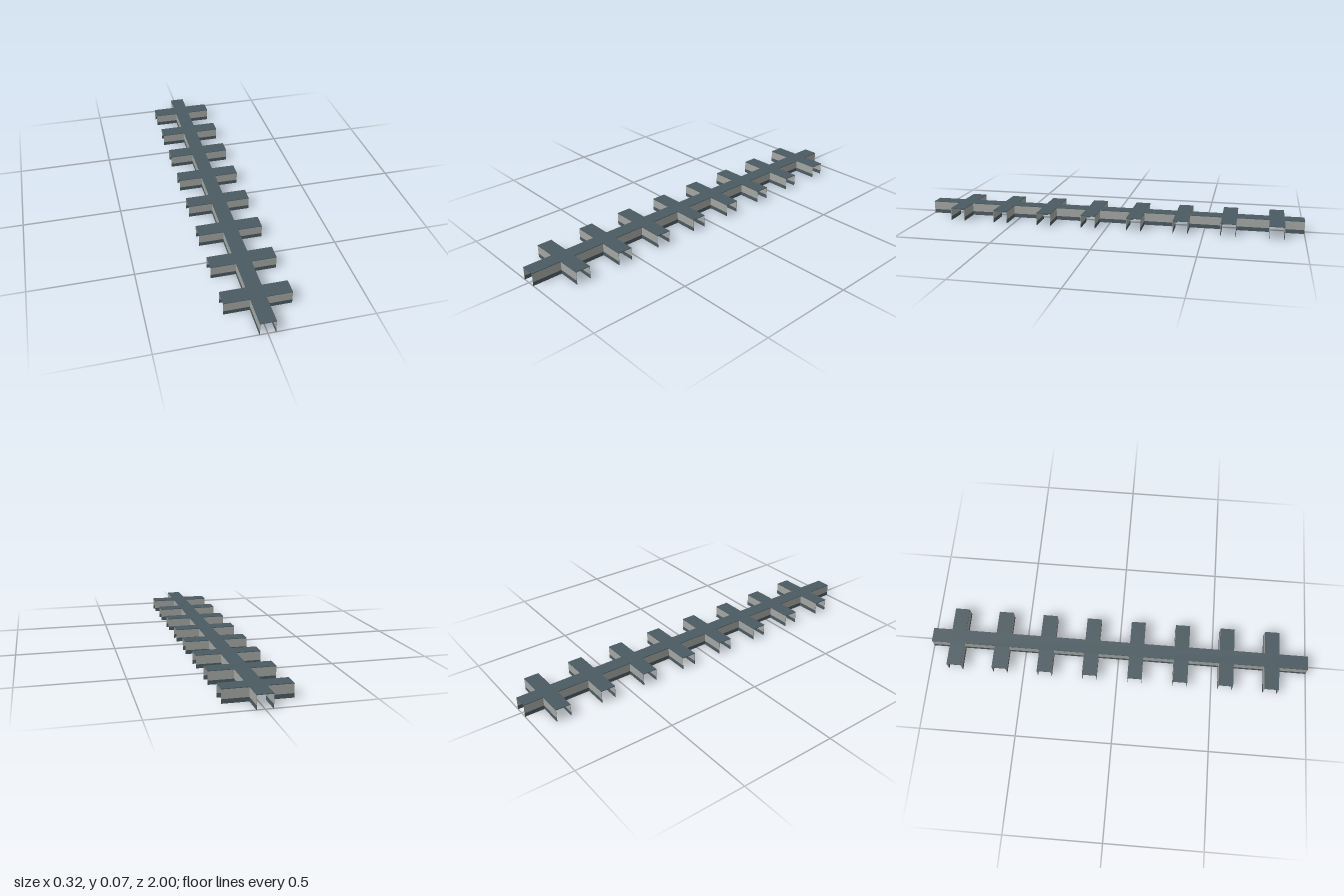
import * as THREE from 'three';

const HEIGHT = 0.066, BAND = 0.02, SHEET = 0.003, WALL = 0.002;
const SPINE = 0.0375;  // half width of the long corridor
const ARM = 0.038;     // half width of a cross arm
const REACH = 0.16;    // arm tip distance from the centre line
const ARM_Z = Array.from({ length: 8 }, (_, i) => -0.863 + i * 0.2391);

export function createModel() {
  const model = new THREE.Group();
  model.name = 'crossedCorridor';

  const slate = new THREE.MeshStandardMaterial({ color: 0x4b5a61 });
  slate.name = 'slate';
  const paleGrey = new THREE.MeshStandardMaterial({ color: 0xa2a6a2 });
  paleGrey.name = 'paleGrey';

  // Box given by its lower and upper corners
  function box(parent, name, material, x0, x1, y0, y1, z0, z1) {
    const mesh = new THREE.Mesh(new THREE.BoxGeometry(x1 - x0, y1 - y0, z1 - z0), material);
    mesh.position.set((x0 + x1) / 2, (y0 + y1) / 2, (z0 + z1) / 2);
    mesh.name = name;
    parent.add(mesh);
  }

  // Upright wall panel with a dark skirting band along its foot
  function wall(name, x0, x1, z0, z1) {
    const group = new THREE.Group();
    group.name = name;
    box(group, 'skirting', slate, x0, x1, 0, BAND, z0, z1);
    box(group, 'panel', paleGrey, x0, x1, BAND, HEIGHT - SHEET, z0, z1);
    model.add(group);
  }

  // Roof: one thin sheet following the outline of spine and arms
  const right = [[SPINE, -1]];
  for (const z of ARM_Z) {
    right.push([SPINE, z - ARM], [REACH, z - ARM], [REACH, z + ARM], [SPINE, z + ARM]);
  }
  right.push([SPINE, 1]);
  const left = right.map(([x, z]) => [-x, z]).reverse();
  const outline = new THREE.Shape([...right, ...left].map(([x, z]) => new THREE.Vector2(x, -z)));
  const roofGeometry = new THREE.ExtrudeGeometry(outline, { depth: SHEET, bevelEnabled: false });
  roofGeometry.rotateX(-Math.PI / 2);
  const roof = new THREE.Mesh(roofGeometry, slate);
  roof.position.y = HEIGHT - SHEET;
  roof.name = 'roof';
  model.add(roof);

  for (const side of [-1, 1]) {
    const span = (a, b) => (side > 0 ? [a, b] : [-b, -a]);

    // Spine walls between the arms, and out to both open ends
    for (let i = 0; i <= ARM_Z.length; i++) {
      const z0 = i === 0 ? -1 : ARM_Z[i - 1] + ARM;
      const z1 = i === ARM_Z.length ? 1 : ARM_Z[i] - ARM;
      wall('spineWall', ...span(SPINE - WALL, SPINE), z0, z1);
    }

    // Two walls per arm, the tip left open
    for (const z of ARM_Z) {
      const [x0, x1] = span(SPINE, REACH);
      wall('armBackWall', x0, x1, z - ARM, z - ARM + WALL);
      wall('armFrontWall', x0, x1, z + ARM - WALL, z + ARM);
    }
  }

  return model;
}
